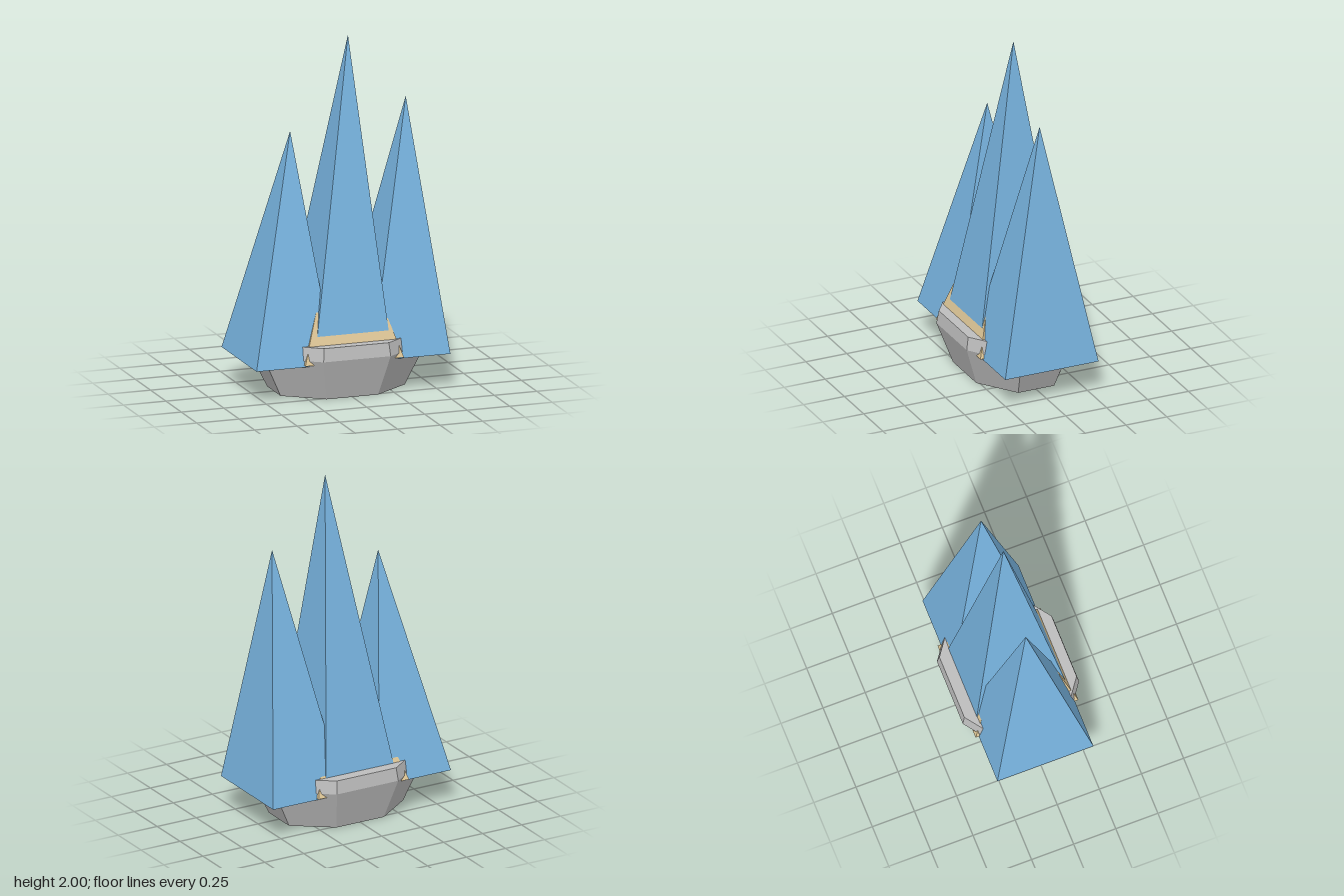
import * as THREE from 'three';

const water = new THREE.MeshStandardMaterial({ name: 'water blue', color: 0x78b4e0 });
const stone = new THREE.MeshStandardMaterial({ name: 'stone grey', color: 0xbcbcbc });
const sand = new THREE.MeshStandardMaterial({ name: 'sand tan', color: 0xe0c898 });

function addMesh(group, name, geometry, material) {
  const flat = geometry.toNonIndexed();
  flat.computeVertexNormals();
  const mesh = new THREE.Mesh(flat, material);
  mesh.name = name;
  group.add(mesh);
  return mesh;
}

// Four-sided pyramid on a rectangular base, its tip pushed sideways by (tipX, tipZ).
function pyramid(width, depth, height, tipX, tipZ) {
  const g = new THREE.ConeGeometry(Math.SQRT1_2, 1, 4, 1);
  g.rotateY(Math.PI / 4).translate(0, 0.5, 0).scale(width, height, depth);
  const p = g.attributes.position;
  for (let i = 0; i < p.count; i++) {
    const t = p.getY(i) / height;
    p.setX(i, p.getX(i) + tipX * t);
    p.setZ(i, p.getZ(i) + tipZ * t);
  }
  return g;
}

// Stretched octagon swept from [distance to flat side, height] pairs.
function octagon(profile) {
  const points = profile.map(([d, y]) => new THREE.Vector2(d / Math.cos(Math.PI / 8), y));
  return new THREE.LatheGeometry(points, 8, Math.PI / 8).scale(1.38, 1, 1);
}

export function createModel() {
  const model = new THREE.Group();
  model.name = 'fountain';

  // Flared stone basin and its rim
  addMesh(model, 'basin', octagon([[0, 0], [0.265, 0], [0.345, 0.235]]), stone);
  addMesh(model, 'rim', octagon([[0.345, 0.235], [0.333, 0.31], [0.265, 0.31], [0.265, 0.22], [0, 0.22]]), stone);

  // Sandy core leaning slightly forward
  addMesh(model, 'core', pyramid(0.58, 0.61, 0.87, 0, 0.042), sand).position.y = 0.21;

  // Three leaning spires
  const spires = [['rightSpire', -0.34, 1.28], ['middleSpire', 0, 1.8], ['leftSpire', 0.34, 1.42]];
  for (const [name, x, height] of spires) {
    addMesh(model, name, pyramid(0.46, 0.57, height, 0.07, 0), water).position.set(x, 0.2, 0);
  }
  return model;
}
